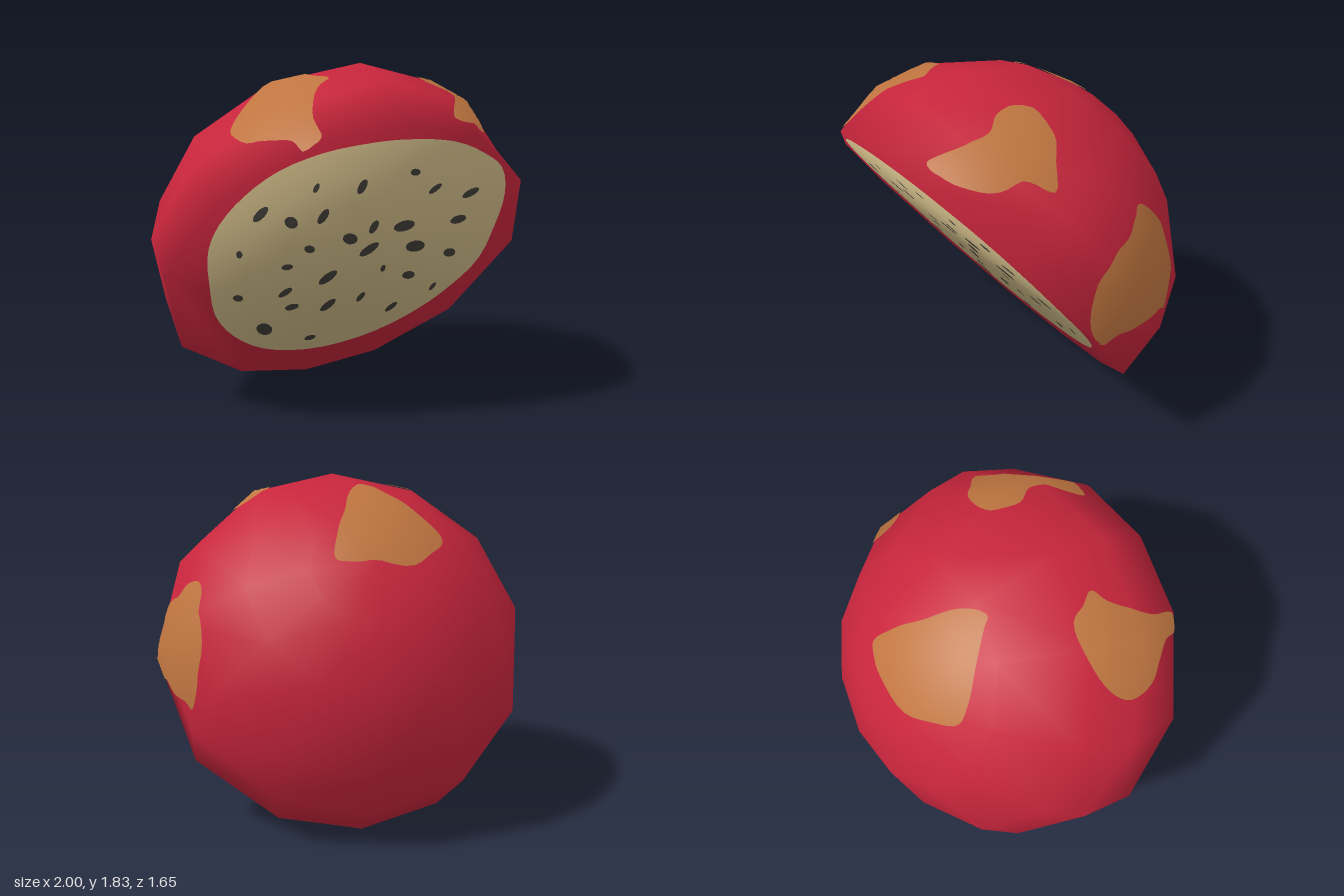
import * as THREE from 'three';

const V = (x, y, z) => new THREE.Vector3(x, y, z);
const COS = 0.793, SIN = 0.61;              // tilt of the cut
const C = V(0, 0.78, 0.22);                 // centre of the cut
const N = V(0, -SIN, COS);                  // the cut faces forward and down

const mat = (name, color) => {
  const m = new THREE.MeshStandardMaterial({ color });
  m.name = name;
  return m;
};

// u runs up along the cut, n goes back into the fruit
const tilt = (x, u, n) => V(x, C.y + COS * u + SIN * n, C.z + SIN * u - COS * n);
// point of the cut plane at front position x, y
const onCut = (x, y, off = 0) => V(x, y, C.z + (y - C.y) * SIN / COS).addScaledVector(N, off);
// soft normals that roll over the rim
const cutNormal = p => p.clone().sub(C).add(N).normalize();

function build(points, normals, index) {
  const g = new THREE.BufferGeometry();
  g.setAttribute('position', new THREE.Float32BufferAttribute(points.flatMap(p => p.toArray()), 3));
  g.setAttribute('normal', new THREE.Float32BufferAttribute(normals.flatMap(p => p.toArray()), 3));
  g.setIndex(index);
  return g;
}

// closed smooth outline through a few [a, b] points
function outline(pts, count) {
  const curve = new THREE.CatmullRomCurve3(pts.map(p => V(p[0], p[1], 0)), true);
  return curve.getPoints(count).slice(0, count);
}

// filled outline in concentric rings; place(a, b) returns [point, normal]
function fill(loop, cx, cy, rings, place) {
  const points = [], normals = [], index = [], n = loop.length;
  const add = (a, b) => {
    const [p, q] = place(a, b);
    points.push(p);
    normals.push(q);
  };
  add(cx, cy);
  for (let k = 1; k <= rings; k++)
    for (const p of loop) add(cx + (p.x - cx) * k / rings, cy + (p.y - cy) * k / rings);
  for (let i = 0; i < n; i++) {
    const j = (i + 1) % n;
    index.push(0, 1 + i, 1 + j);
    for (let k = 1; k < rings; k++) {
      const a = 1 + (k - 1) * n, b = a + n;
      index.push(a + i, b + i, b + j, a + i, b + j, a + j);
    }
  }
  // turn the faces toward the normals
  const face = new THREE.Triangle(points[0], points[1], points[2]).getNormal(V(0, 0, 0));
  if (face.dot(normals[0]) < 0) index.reverse();
  return build(points, normals, index);
}

// rim corners, clockwise from the top
const half = [0, 24, 55, 86, 123, 154, 180];
const rimAngles = [...half, ...half.slice(1, -1).reverse().map(a => 360 - a)].map(a => a * Math.PI / 180);
const rim = rimAngles.map(a => {
  const r = 1.002 - 0.018 * Math.abs(Math.cos(a));
  return tilt(r * Math.sin(a), r * Math.cos(a), 0);
});

// twelve-sided faceted half ball with smooth normals
function domeGeometry() {
  const rings = [[0.3, 0.99], [0.56, 0.89], [0.86, 0.6], [1.0, 0.3]];
  const points = [...rim], index = [];
  for (const [n, r] of rings)
    for (let i = 0; i < 12; i++) {
      const a = i * Math.PI / 6;
      points.push(tilt(r * Math.sin(a), r * Math.cos(a), n));
    }
  points.push(tilt(0, 0, 1.06));
  const pole = points.length - 1;
  for (let i = 0; i < 12; i++) {
    const j = (i + 1) % 12;
    for (let k = 0; k < rings.length; k++) {
      const a = k * 12, b = a + 12;
      index.push(a + i, b + j, b + i, a + i, a + j, b + j);
    }
    index.push(pole - 12 + i, pole - 12 + j, pole);
  }
  const normals = points.map((p, i) => i < 12 ? cutNormal(p) : p.clone().sub(C).normalize());
  // keep the faces outward
  const face = new THREE.Triangle(...index.slice(0, 3).map(i => points[i])).getNormal(V(0, 0, 0));
  if (face.dot(points[index[0]].clone().sub(C)) < 0) index.reverse();
  return build(points, normals, index);
}

// first hit of a ray on the dome
function hitDome(dome, origin, dir) {
  const ray = new THREE.Ray(origin, dir), pos = dome.attributes.position, ix = dome.index;
  let best = null;
  for (let t = 0; t < ix.count; t += 3) {
    const [a, b, c] = [0, 1, 2].map(k => V(0, 0, 0).fromBufferAttribute(pos, ix.getX(t + k)));
    const p = ray.intersectTriangle(a, b, c, false, V(0, 0, 0));
    if (p && (!best || p.distanceTo(origin) < best.distanceTo(origin))) best = p;
  }
  return best;
}

export function createModel() {
  const group = new THREE.Group();
  const skin = mat('red skin', 0xc8253c);
  const blotch = mat('brown blotch', 0xbf7540);
  const pulp = mat('cream flesh', 0xd0bb88);
  const pip = mat('dark seed', 0x403e38);
  const add = (name, geometry, material) => {
    const m = new THREE.Mesh(geometry, material);
    m.name = name;
    group.add(m);
  };

  const dome = domeGeometry();
  add('skinDome', dome, skin);

  // flesh outline as seen from the front
  const edge = outline([
    [0, 1.49], [0.28, 1.47], [0.49, 1.4], [0.65, 1.31], [0.76, 1.15], [0.81, 0.96], [0.83, 0.72],
    [0.73, 0.53], [0.57, 0.37], [0.33, 0.24], [0, 0.18], [-0.31, 0.23], [-0.52, 0.35], [-0.68, 0.53],
    [-0.76, 0.75], [-0.81, 0.96], [-0.79, 1.1], [-0.71, 1.24], [-0.58, 1.36], [-0.39, 1.44], [-0.2, 1.475]
  ], 64);
  const cutPlace = off => (x, y) => {
    const p = onCut(x, y, off);
    return [p, cutNormal(p)];
  };

  // red ring of rind around the flesh
  const ring = new THREE.Shape(rim.map(p => new THREE.Vector2(p.x, p.y)));
  ring.holes.push(new THREE.Path(edge.map(p => new THREE.Vector2(p.x, p.y))));
  const flat = new THREE.ShapeGeometry(ring), fp = flat.attributes.position;
  const ringPoints = Array.from({ length: fp.count }, (_, i) => onCut(fp.getX(i), fp.getY(i)));
  add('rindRing', build(ringPoints, ringPoints.map(cutNormal), [...flat.index.array]), skin);

  add('flesh', fill(edge, 0, 0.835, 4, cutPlace(0)), pulp);

  // seeds: x, y, length, angle in degrees
  const seeds = [
    [-0.6, 1.15, 0.09, 60], [-0.43, 1.09, 0.09, -40], [-0.36, 1.27, 0.05, 90], [-0.27, 1.11, 0.085, 80],
    [-0.12, 1.26, 0.08, 90], [0.14, 1.32, 0.06, -20], [0.3, 1.22, 0.07, 45], [0.53, 1.18, 0.09, 25],
    [0.54, 1.02, 0.095, 0], [0.22, 1.01, 0.12, 0], [0.04, 1.02, 0.08, 90], [-0.07, 0.96, 0.1, -30],
    [-0.28, 0.92, 0.07, -30], [-0.65, 0.93, 0.05, -60], [-0.37, 0.82, 0.065, -10], [0.07, 0.88, 0.11, 40],
    [0.35, 0.87, 0.125, -15], [0.6, 0.8, 0.09, -25], [0.21, 0.74, 0.05, -70], [0.4, 0.67, 0.09, -20],
    [-0.11, 0.72, 0.11, 45], [-0.33, 0.65, 0.08, 40], [-0.59, 0.65, 0.065, -30], [-0.26, 0.54, 0.08, 0],
    [-0.04, 0.52, 0.1, 50], [0.15, 0.55, 0.07, 75], [0.61, 0.56, 0.06, 80], [0.39, 0.44, 0.08, 50],
    [-0.38, 0.4, 0.12, -40], [-0.07, 0.28, 0.07, 0]
  ];
  for (const [x, y, len, deg] of seeds) {
    const t = deg * Math.PI / 180;
    const e = new THREE.EllipseCurve(x, y, len / 2, len * 0.29, 0, Math.PI * 2, false, t);
    add('seed', fill(e.getPoints(12).slice(0, 12), x, y, 1, cutPlace(0.004)), pip);
  }

  // skin blotches, projected onto the dome from the top (x, z) or the side (z, y)
  const fromTop = (a, b) => [V(a, 4, b), V(0, -1, 0)];
  const fromSide = (a, b) => [V(4, b, a), V(-1, 0, 0)];
  const blotches = [
    [fromSide, -0.1, 0.95, [[0.27, 0.87], [0.2, 1.05], [0.08, 1.17], [-0.03, 1.21], [-0.09, 1.27], [-0.15, 1.3],
      [-0.23, 1.26], [-0.33, 1.12], [-0.39, 0.93], [-0.37, 0.77], [-0.33, 0.69], [-0.27, 0.72], [-0.05, 0.72],
      [0.08, 0.75], [0.17, 0.74]]],
    [fromTop, 0.51, 0.4, [[0.41, 0.17], [0.55, 0.16], [0.64, 0.22], [0.73, 0.29], [0.66, 0.38], [0.61, 0.5],
      [0.53, 0.6], [0.42, 0.69], [0.32, 0.69], [0.34, 0.64], [0.42, 0.52], [0.43, 0.43], [0.36, 0.34], [0.37, 0.22]]],
    [fromTop, -0.45, 0.42, [[-0.68, 0.35], [-0.62, 0.27], [-0.47, 0.22], [-0.3, 0.24], [-0.25, 0.32], [-0.2, 0.39],
      [-0.27, 0.44], [-0.35, 0.55], [-0.39, 0.64], [-0.4, 0.75], [-0.47, 0.74], [-0.5, 0.66], [-0.58, 0.57], [-0.65, 0.49]]],
    [fromTop, -0.09, -0.4, [[-0.4, -0.4], [-0.33, -0.49], [-0.2, -0.59], [0.02, -0.61], [0.12, -0.59], [0.18, -0.56],
      [0.15, -0.47], [0.08, -0.33], [0.03, -0.2], [-0.04, -0.11], [-0.09, -0.08], [-0.13, -0.12], [-0.24, -0.22], [-0.36, -0.33]]]
  ];
  for (const [cast, ca, cb, pts] of blotches) {
    const place = (a, b) => {
      let p = null;
      for (let k = 1; !p && k > 0; k -= 0.02) p = hitDome(dome, ...cast(ca + (a - ca) * k, cb + (b - cb) * k));
      const q = (p || C).clone().sub(C).normalize();
      return [p.addScaledVector(q, 0.007), q];
    };
    add('skinBlotch', fill(outline(pts, 56), ca, cb, 9, place), blotch);
  }
  return group;
}
